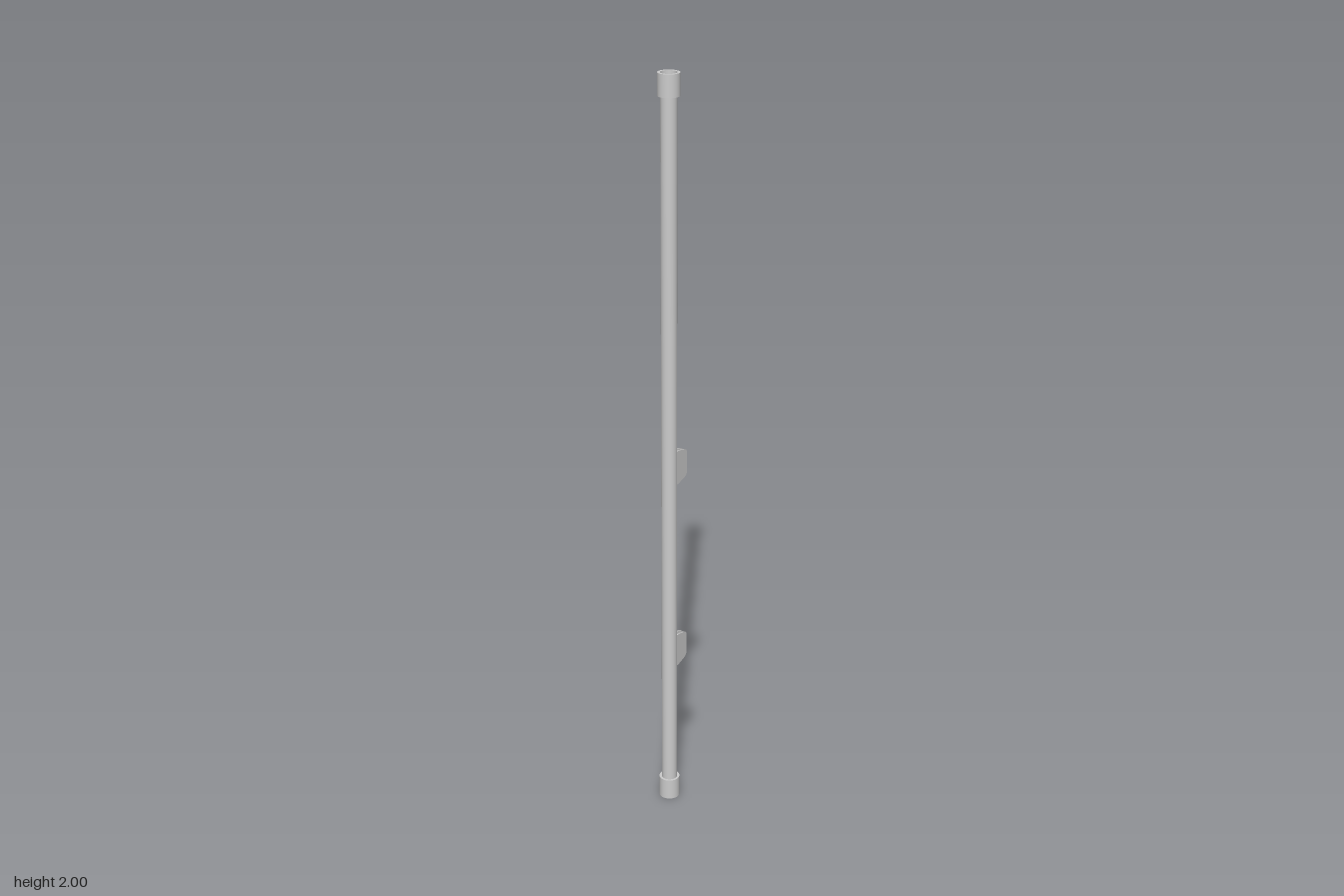
import * as THREE from 'three';

const AXIS_Z = 0.022;
const material = new THREE.MeshStandardMaterial({ color: 0xcccccc });

function part(name, geometry) {
  const mesh = new THREE.Mesh(geometry, material);
  mesh.name = name;
  return mesh;
}

// Sleeve with a recessed end; corners are doubled so the edges stay sharp
function sleeveGeometry(height) {
  const outer = 0.0275, inner = 0.021;
  const corners = [[inner, 0], [outer, 0], [outer, height], [inner, height], [inner, 0]];
  const points = [];
  for (let i = 0; i < corners.length - 1; i++) {
    points.push(new THREE.Vector2(...corners[i]), new THREE.Vector2(...corners[i]));
    points.push(new THREE.Vector2(...corners[i + 1]));
  }
  return new THREE.LatheGeometry(points, 40);
}

// Side plate of a clip: straight at the pole, rounded at the free end
function plateGeometry() {
  const s = new THREE.Shape();
  s.moveTo(-0.01, -0.046);
  s.lineTo(0.008, -0.046);
  s.lineTo(0.036, -0.04);
  s.quadraticCurveTo(0.05, -0.036, 0.05, -0.028);
  s.lineTo(0.05, 0.028);
  s.quadraticCurveTo(0.05, 0.036, 0.036, 0.04);
  s.lineTo(0.008, 0.046);
  s.lineTo(-0.01, 0.046);
  s.closePath();
  const g = new THREE.ExtrudeGeometry(s, { depth: 0.0036, bevelEnabled: false, curveSegments: 5 });
  return g.translate(0, 0, -0.0018).rotateY(Math.PI / 2);
}

export function createModel() {
  const group = new THREE.Group();

  // Long pole, ending just inside the sleeves
  const pole = part('pole', new THREE.CylinderGeometry(0.0205, 0.0205, 1.98, 40));
  pole.position.set(0, 1, AXIS_Z);
  group.add(pole);

  // End sleeves
  const bottom = part('bottomSleeve', sleeveGeometry(0.058));
  bottom.position.set(0, 0, AXIS_Z);
  const top = part('topSleeve', sleeveGeometry(0.056));
  top.position.set(0, 1.944, AXIS_Z);
  group.add(bottom, top);

  // Two clips, each a pair of plates converging toward the back
  const plate = plateGeometry();
  [['lowerClip', 0.442], ['upperClip', 0.976]].forEach(([name, y]) => {
    const clip = new THREE.Group();
    clip.name = name;
    clip.position.y = y;
    for (const side of [-1, 1]) {
      const mesh = part(side > 0 ? 'leftPlate' : 'rightPlate', plate);
      mesh.position.x = side * 0.008;
      mesh.rotation.y = side * 0.045;
      clip.add(mesh);
    }
    group.add(clip);
  });

  return group;
}
